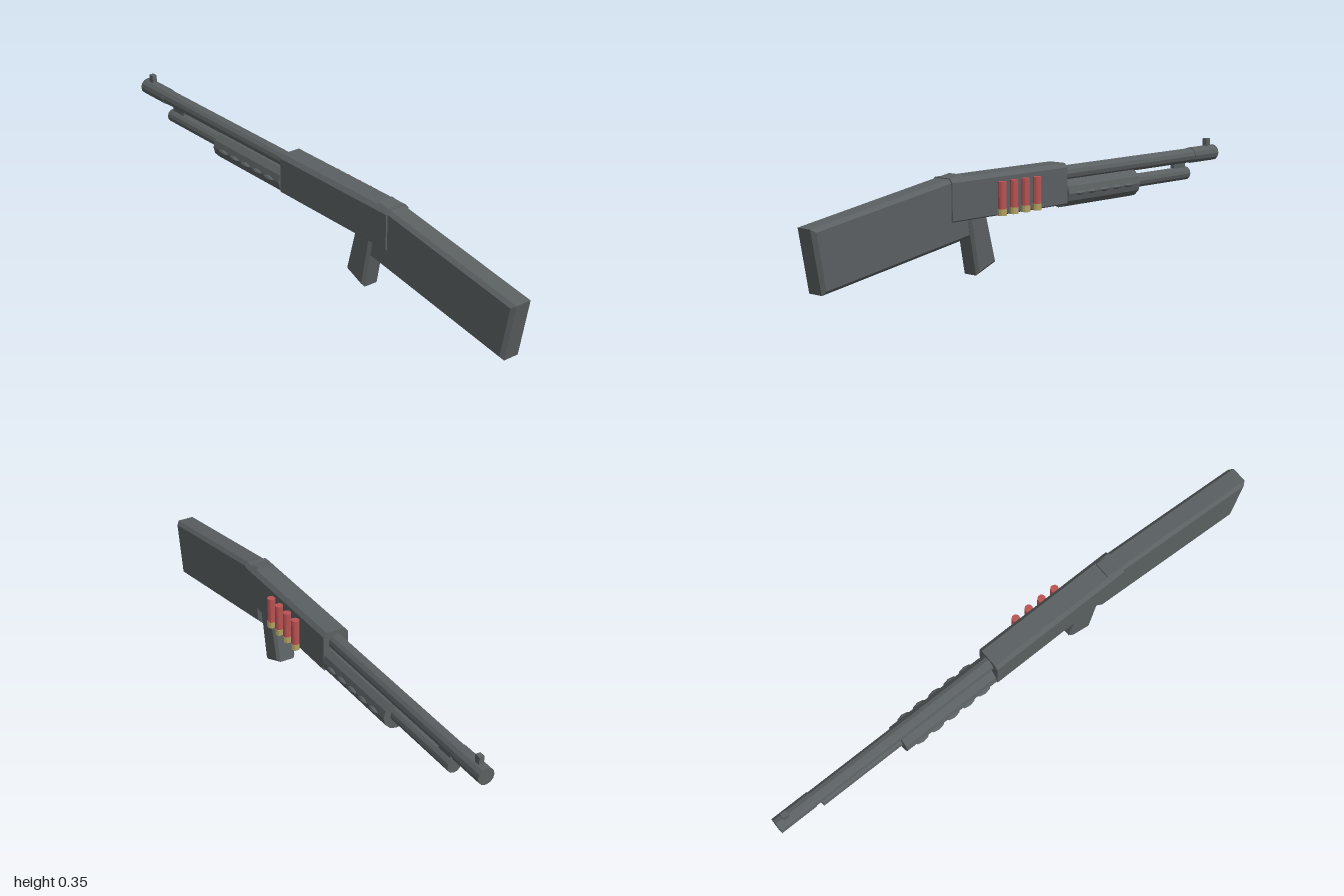
import * as THREE from 'three';

const CX = -0.008; // centre line of the body

export function createModel() {
  const root = new THREE.Group();
  const material = (name, color) => {
    const m = new THREE.MeshStandardMaterial({ color, flatShading: true });
    m.name = name;
    return m;
  };
  const steel = material('gunmetal grey', 0x5a5f61);
  const red = material('shell red', 0xb95252);
  const brass = material('brass', 0xb3a263);

  const add = (name, geometry, mat, x = 0, y = 0, z = 0, parent = root) => {
    const mesh = new THREE.Mesh(geometry, mat);
    mesh.name = name;
    mesh.position.set(x, y, z);
    parent.add(mesh);
    return mesh;
  };

  // Chamfered slab from a side outline of [z, y] points, centred on the body line
  const slab = (name, points, width, bevel) => {
    const shape = new THREE.Shape(points.map(([z, y]) => new THREE.Vector2(-z, y)));
    const g = new THREE.ExtrudeGeometry(shape, {
      depth: width - 2 * bevel, bevelEnabled: true, bevelSegments: 1,
      bevelSize: bevel, bevelThickness: bevel, bevelOffset: -bevel,
    });
    g.translate(0, 0, -(width - 2 * bevel) / 2);
    g.rotateY(Math.PI / 2);
    return add(name, g, steel, CX);
  };

  // Round bar along z between two depths
  const bar = (name, r, y, zBack, zFront, sides = 12) => {
    const g = new THREE.CylinderGeometry(r, r, zBack - zFront, sides);
    g.rotateX(Math.PI / 2);
    return add(name, g, steel, CX, y, (zBack + zFront) / 2);
  };

  // Stock and pistol grip
  slab('stock', [[1.0, 0.237], [0.96, 0.03], [0.33, 0.132], [0.366, 0.341]], 0.082, 0.012);
  slab('grip', [[0.342, 0.215], [0.3, 0.0], [0.21, 0.036], [0.258, 0.215]], 0.072, 0.01);

  // Receiver: chamfered cross-section run along z
  const section = new THREE.Shape([
    [-0.047, 0.196], [-0.043, 0.192], [0.043, 0.192], [0.047, 0.196],
    [0.047, 0.32], [0.034, 0.334], [-0.034, 0.334], [-0.047, 0.32],
  ].map(([x, y]) => new THREE.Vector2(x, y)));
  const receiver = new THREE.ExtrudeGeometry(section, { depth: 0.55, bevelEnabled: false });
  add('receiver', receiver, steel, CX, 0, -0.125);

  // Barrel, muzzle and front sight
  bar('barrel', 0.027, 0.293, -0.1, -0.87);
  bar('muzzle', 0.0295, 0.293, -0.86, -1.0);
  add('frontSight', new THREE.BoxGeometry(0.018, 0.032, 0.022), steel, CX, 0.332, -0.962);

  // Magazine tube with its bracket
  bar('magazineTube', 0.025, 0.229, -0.1, -0.835);
  add('tubeBracket', new THREE.BoxGeometry(0.016, 0.03, 0.065), steel, CX, 0.26, -0.79);

  // Sliding foregrip with a row of ridges on each side
  bar('foregrip', 0.051, 0.227, -0.13, -0.51);
  for (const side of [-1, 1]) {
    for (let i = 0; i < 5; i++) {
      const ridge = new THREE.OctahedronGeometry(1, 1);
      ridge.scale(0.014, 0.009, 0.03);
      add('foregripRidge', ridge, steel, CX + side * 0.046, 0.227, -0.187 - i * 0.0655);
    }
  }

  // Spare shells along the left side of the receiver
  for (let i = 0; i < 4; i++) {
    const shell = new THREE.Group();
    shell.name = 'spareShell';
    shell.position.set(0.052, 0, 0.042 + i * 0.056);
    add('shellCase', new THREE.CylinderGeometry(0.0145, 0.0145, 0.091, 10), red, 0, 0.2605, 0, shell);
    add('shellBase', new THREE.CylinderGeometry(0.0155, 0.0155, 0.022, 10), brass, 0, 0.204, 0, shell);
    root.add(shell);
  }
  return root;
}
